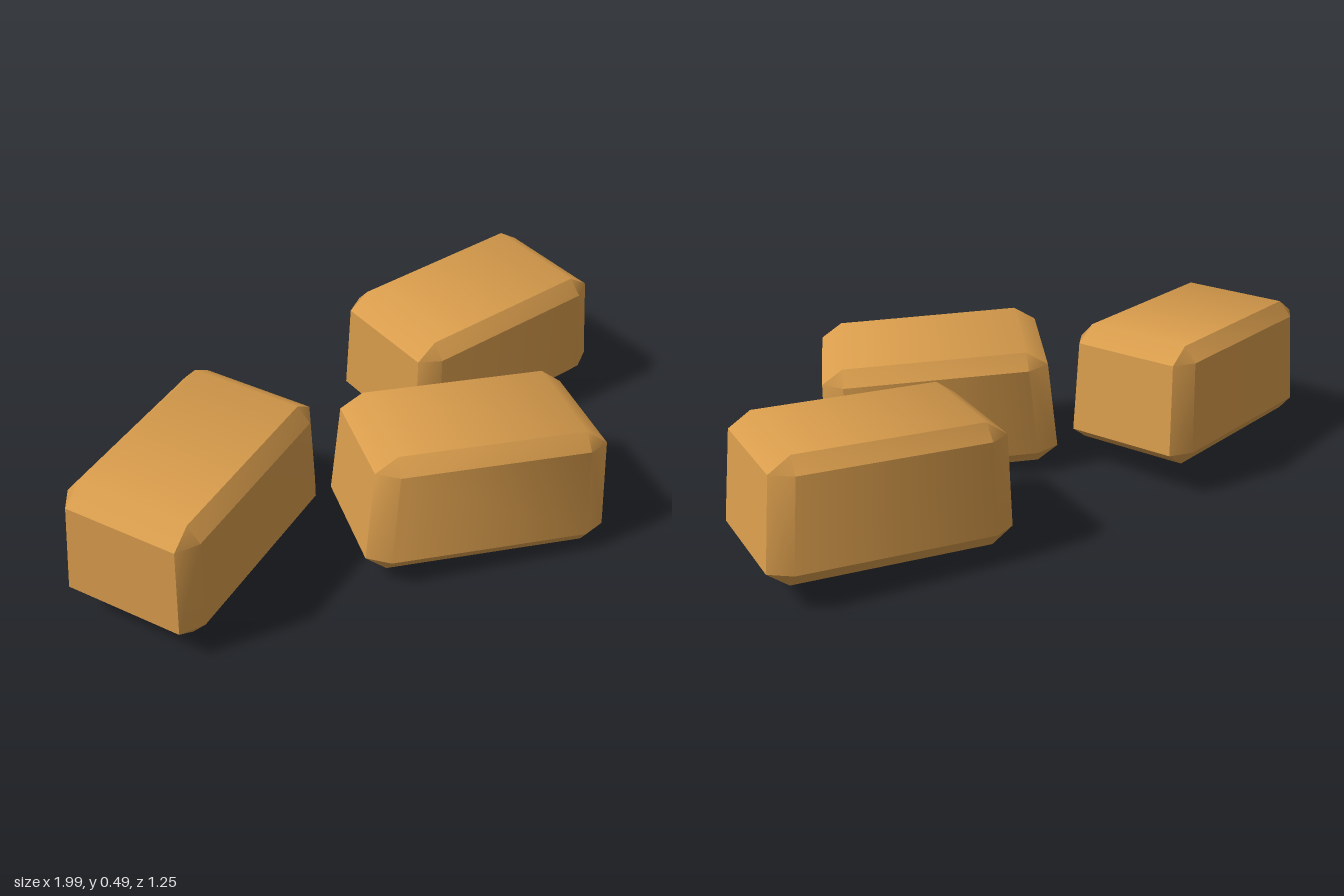
import * as THREE from 'three';
import { toCreasedNormals } from 'three/addons/utils/BufferGeometryUtils.js';
import { ConvexGeometry } from 'three/addons/geometries/ConvexGeometry.js';

// Half sizes of a block and how far its edges are bevelled on each axis
const HALF = [0.385, 0.197, 0.235];
const BEVEL = [0.07, 0.048, 0.043];

// Bevelled box: each corner gives one point for each of its three faces
function blockGeometry() {
  const points = [];
  for (const sx of [-1, 1]) for (const sy of [-1, 1]) for (const sz of [-1, 1]) {
    for (let face = 0; face < 3; face++) {
      const [x, y, z] = HALF.map((h, i) => (i === face ? h : h - BEVEL[i]));
      // Narrow slightly towards the top
      const taper = 1 - 0.16 * (sy * y + 0.15);
      points.push(new THREE.Vector3(sx * x * taper, sy * y, sz * z * taper));
    }
  }
  // Gentle bevels blend with the long faces, steeper edges stay sharp
  return toCreasedNormals(new ConvexGeometry(points), 0.67);
}

export function createModel() {
  const model = new THREE.Group();
  model.name = 'looseBlocks';
  const ochre = new THREE.MeshStandardMaterial({ color: 0xd89c4c });
  ochre.name = 'ochre';
  const geometry = blockGeometry();

  // Three loose blocks, each turned and slightly tipped
  const blocks = [
    { name: 'rightBlock', at: [-0.577, 0.275, 0.228], roll: 0.04, yaw: 0.7, tilt: 0.045 },
    { name: 'backBlock', at: [0.568, 0.252, -0.32], roll: 0.04, yaw: 0.27, tilt: 0.05 },
    { name: 'frontBlock', at: [0.272, 0.221, 0.333], roll: -0.045, yaw: -0.085, tilt: -0.05 },
  ];
  for (const { name, at, roll, yaw, tilt } of blocks) {
    const block = new THREE.Mesh(geometry, ochre);
    block.name = name;
    block.position.set(...at);
    block.rotation.set(roll, yaw, tilt, 'YXZ');
    model.add(block);
  }
  return model;
}
